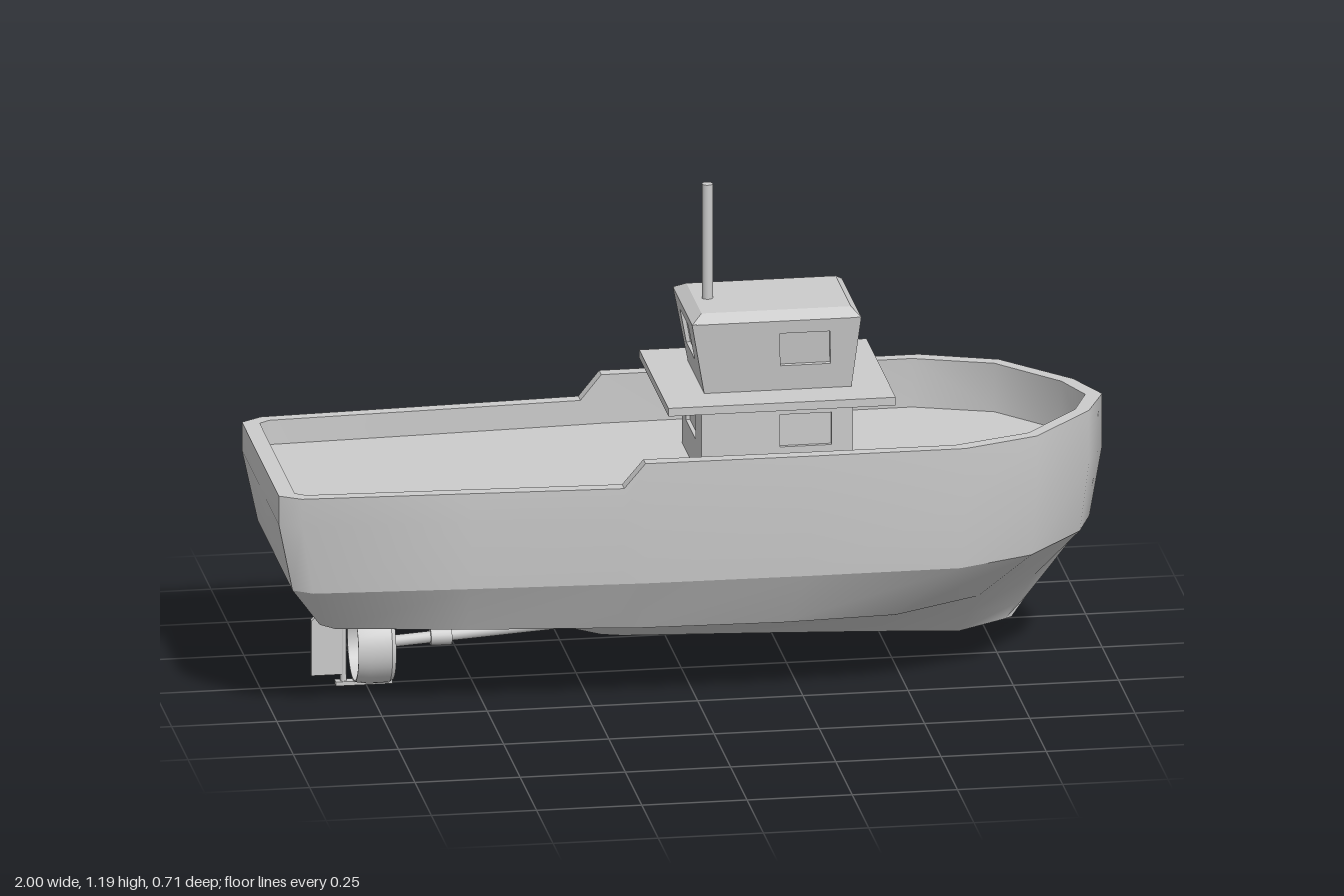
import * as THREE from 'three';
import { toCreasedNormals } from 'three/addons/utils/BufferGeometryUtils.js';

const mat = new THREE.MeshStandardMaterial({ color: 0xcccccc });

function add(parent, name, geo, x = 0, y = 0, z = 0) {
  const m = new THREE.Mesh(geo, mat);
  m.name = name;
  m.position.set(x, y, z);
  parent.add(m);
  return m;
}

// Hull lines, stern centre to bow: x and half-width at each station
const rimX = [-1, -1, -0.95, -0.55, -0.19, -0.14, 0.25, 0.62, 0.8, 0.95, 1];
const rimZ = [0, 0.28, 0.312, 0.332, 0.35, 0.353, 0.357, 0.357, 0.29, 0.12, 0];
const innerX = [-0.96, -0.96, -0.935, -0.55, -0.19, -0.14, 0.25, 0.6, 0.785, 0.92, 0.96];
const innerZ = [0, 0.265, 0.283, 0.3, 0.317, 0.32, 0.325, 0.327, 0.262, 0.105, 0];
const knuckleX = [-0.965, -0.965, -0.92, -0.55, -0.19, -0.14, 0.25, 0.61, 0.79, 0.93, 0.97];
const knuckleZ = [0, 0.265, 0.297, 0.32, 0.338, 0.341, 0.345, 0.343, 0.27, 0.11, 0];
const chineX = [-0.89, -0.89, -0.86, -0.55, -0.19, -0.14, 0.2, 0.47, 0.68, 0.83, 0.88];
const chineY = [0.22, 0.22, 0.22, 0.21, 0.2, 0.198, 0.195, 0.195, 0.2, 0.21, 0.215];
const chineZ = [0, 0.2, 0.235, 0.26, 0.272, 0.273, 0.275, 0.26, 0.165, 0.06, 0];
const bilgeX = [-0.89, -0.89, -0.86, -0.55, -0.19, -0.14, 0.2, 0.47, 0.67, 0.79, 0.82];
const bilgeY = [0.22, 0.22, 0.218, 0.198, 0.165, 0.163, 0.16, 0.15, 0.13, 0.13, 0.14];
const bilgeZ = [0, 0.1, 0.11, 0.13, 0.15, 0.15, 0.15, 0.13, 0.08, 0.025, 0];
const keelX = [-0.89, -0.89, -0.86, -0.55, -0.19, -0.14, 0.2, 0.47, 0.66, 0.77, 0.785];
const keelY = [0.22, 0.22, 0.217, 0.19, 0.095, 0.09, 0.079, 0.069, 0.06, 0.085, 0.09];

const row = (xs, y, zs) => xs.map((x, i) =>
  new THREE.Vector3(x, typeof y === 'function' ? y(i) : y, zs ? zs[i] : 0));

// Skin between rows of stations, mirrored to both sides
function loft(rows, crease) {
  const pos = [];
  const tri = (a, b, c) => {
    const area = b.clone().sub(a).cross(c.clone().sub(a)).length();
    if (area < 1e-7) return;
    pos.push(a.x, a.y, a.z, b.x, b.y, b.z, c.x, c.y, c.z);
    for (const v of [a, c, b]) pos.push(v.x, v.y, -v.z);
  };
  for (let r = 0; r < rows.length - 1; r++) {
    for (let s = 0; s < rows[r].length - 1; s++) {
      const a = rows[r][s], b = rows[r][s + 1], c = rows[r + 1][s + 1], d = rows[r + 1][s];
      tri(a, b, c);
      tri(a, c, d);
    }
  }
  const g = new THREE.BufferGeometry();
  g.setAttribute('position', new THREE.Float32BufferAttribute(pos, 3));
  return toCreasedNormals(g, crease);
}

// Box with a different bottom and top rectangle, each [x0, x1, halfZ]
function frustum(y0, lo, y1, hi) {
  const g = new THREE.BoxGeometry(1, 1, 1);
  const p = g.attributes.position;
  for (let i = 0; i < p.count; i++) {
    const top = p.getY(i) > 0, e = top ? hi : lo;
    p.setXYZ(i, p.getX(i) > 0 ? e[1] : e[0], top ? y1 : y0, Math.sign(p.getZ(i)) * e[2]);
  }
  g.computeVertexNormals();
  return g;
}

// Wall plate with openings; corners run bottom left, bottom right, top right, top left
const T = 0.01;
function wall(a, b, c, d, holes) {
  const bottom = a.clone().add(b).multiplyScalar(0.5);
  const top = c.clone().add(d).multiplyScalar(0.5);
  const X = b.clone().sub(a), Y = top.clone().sub(bottom);
  const w = X.length() / 2, h = Y.length(), wt = c.distanceTo(d) / 2;
  X.normalize();
  Y.normalize();
  const Z = X.clone().cross(Y);
  const poly = pts => pts.map(p => new THREE.Vector2(...p));
  const shape = new THREE.Shape(poly([[-w, 0], [w, 0], [wt, h], [-wt, h]]));
  for (const [u0, u1, v0, v1] of holes) {
    const l = (u0 * 2 - 1) * w, r = (u1 * 2 - 1) * w;
    shape.holes.push(new THREE.Path(poly([[l, v0 * h], [l, v1 * h], [r, v1 * h], [r, v0 * h]])));
  }
  const g = new THREE.ExtrudeGeometry(shape, { depth: T, bevelEnabled: false });
  g.translate(0, 0, -T);
  return g.applyMatrix4(new THREE.Matrix4().makeBasis(X, Y, Z).setPosition(bottom));
}

// Cabin storey: recessed core behind four walls with window openings
function storey(parent, name, y0, lo, y1, hi, v0, v1) {
  const g = new THREE.Group();
  g.name = name;
  parent.add(g);
  const inset = ([x0, x1, z]) => [x0 + T, x1 - T, z - T];
  add(g, 'windowPanes', frustum(y0, inset(lo), y1 - 0.002, inset(hi)));
  const ring = (y, [x0, x1, z]) => [[x0, z], [x1, z], [x1, -z], [x0, -z]]
    .map(([x, zz]) => new THREE.Vector3(x, y, zz));
  const B = ring(y0, lo), U = ring(y1, hi);
  const openings = [
    [[0.52, 0.86, v0, v1]],
    [[0.12, 0.46, v0, v1], [0.54, 0.88, v0, v1]],
    [[0.18, 0.42, v0, v1], [0.6, 0.84, 0.08, v1]],
    [[0.2, 0.7, v0, v1]],
  ];
  ['leftWall', 'frontWall', 'rightWall', 'aftWall'].forEach((n, i) => {
    const j = (i + 1) % 4;
    add(g, n, wall(B[i], B[j], U[j], U[i], openings[i]));
  });
}

export function createModel() {
  const boat = new THREE.Group();
  boat.name = 'boat';

  // Hull and deck
  const rimY = i => (i <= 4 ? 0.57 : 0.63);
  const knuckle = row(knuckleX, 0.33, knuckleZ);
  const rim = row(rimX, rimY, rimZ);
  add(boat, 'hullBottom', loft([row(keelX, i => keelY[i]), row(bilgeX, i => bilgeY[i], bilgeZ),
    row(chineX, i => chineY[i], chineZ), knuckle], 0.7));
  add(boat, 'hullSides', loft([knuckle, row(rimX, 0.5, rimZ), rim], 0.85));
  add(boat, 'bulwarkAndDeck', loft([rim, row(innerX, rimY, innerZ),
    row(innerX, 0.51, innerZ), row(innerX, 0.51)], 0.6));

  // Cabin, walkway, wheelhouse, roof and mast
  storey(boat, 'cabin', 0.51, [0.025, 0.385, 0.147], 0.7, [0.025, 0.385, 0.147], 0.4, 0.82);
  add(boat, 'walkway', new THREE.BoxGeometry(0.54, 0.02, 0.444), 0.205, 0.71, 0);
  storey(boat, 'wheelhouse', 0.72, [0.035, 0.385, 0.125], 0.897, [0.003, 0.405, 0.147], 0.35, 0.82);
  add(boat, 'roof', frustum(0.897, [0.003, 0.405, 0.147], 0.915, [0.03, 0.385, 0.115]));
  add(boat, 'mast', new THREE.CylinderGeometry(0.013, 0.013, 0.29, 20), 0.062, 1.052, 0);

  // Propeller shaft and its bracket
  const from = new THREE.Vector3(-0.75, 0.1, 0), to = new THREE.Vector3(-0.2, 0.135, 0);
  add(boat, 'shaft', new THREE.TubeGeometry(new THREE.LineCurve3(from, to), 1, 0.014, 16));
  add(boat, 'shaftBracket', new THREE.BoxGeometry(0.045, 0.12, 0.014), -0.572, 0.15, 0);
  const sleeve = add(boat, 'shaftSleeve', new THREE.CylinderGeometry(0.021, 0.021, 0.05, 16), -0.572, 0.111, 0);
  sleeve.rotation.z = Math.PI / 2;

  // Propeller with four pitched blades
  const prop = new THREE.Group();
  prop.name = 'propeller';
  prop.position.set(-0.735, 0.1, 0);
  boat.add(prop);
  add(prop, 'hub', new THREE.CylinderGeometry(0.02, 0.02, 0.06, 16)).rotation.z = Math.PI / 2;
  for (let k = 0; k < 4; k++) {
    const blade = new THREE.BoxGeometry(0.007, 0.062, 0.05).translate(0, 0.047, 0);
    blade.rotateY(0.6).rotateX(Math.PI / 4 + k * Math.PI / 2);
    add(prop, 'blade', blade);
  }

  // Ring around the propeller, with its mount to the hull
  const ring = [[0.086, -0.045], [0.093, -0.035], [0.093, 0.015], [0.088, 0.045],
    [0.084, 0.045], [0.083, 0], [0.086, -0.045]].map(p => new THREE.Vector2(...p));
  const nozzle = toCreasedNormals(new THREE.LatheGeometry(ring, 36).toNonIndexed(), 0.6);
  add(boat, 'nozzle', nozzle, -0.735, 0.1, 0).rotation.z = Math.PI / 2;
  add(boat, 'nozzleMount', new THREE.BoxGeometry(0.08, 0.04, 0.045), -0.735, 0.203, 0);

  // Rudder, its stock and the shoe below
  const outline = [[-0.88, 0.03], [-0.797, 0.03], [-0.797, 0.19], [-0.855, 0.19], [-0.88, 0.165]];
  const rudder = new THREE.ExtrudeGeometry(new THREE.Shape(outline.map(p => new THREE.Vector2(...p))),
    { depth: 0.014, bevelEnabled: false });
  add(boat, 'rudder', rudder, 0, 0, -0.007);
  add(boat, 'rudderStock', new THREE.CylinderGeometry(0.008, 0.008, 0.21, 12), -0.803, 0.115, 0);
  add(boat, 'rudderShoe', new THREE.BoxGeometry(0.135, 0.01, 0.022), -0.755, 0.008, 0);
  return boat;
}
